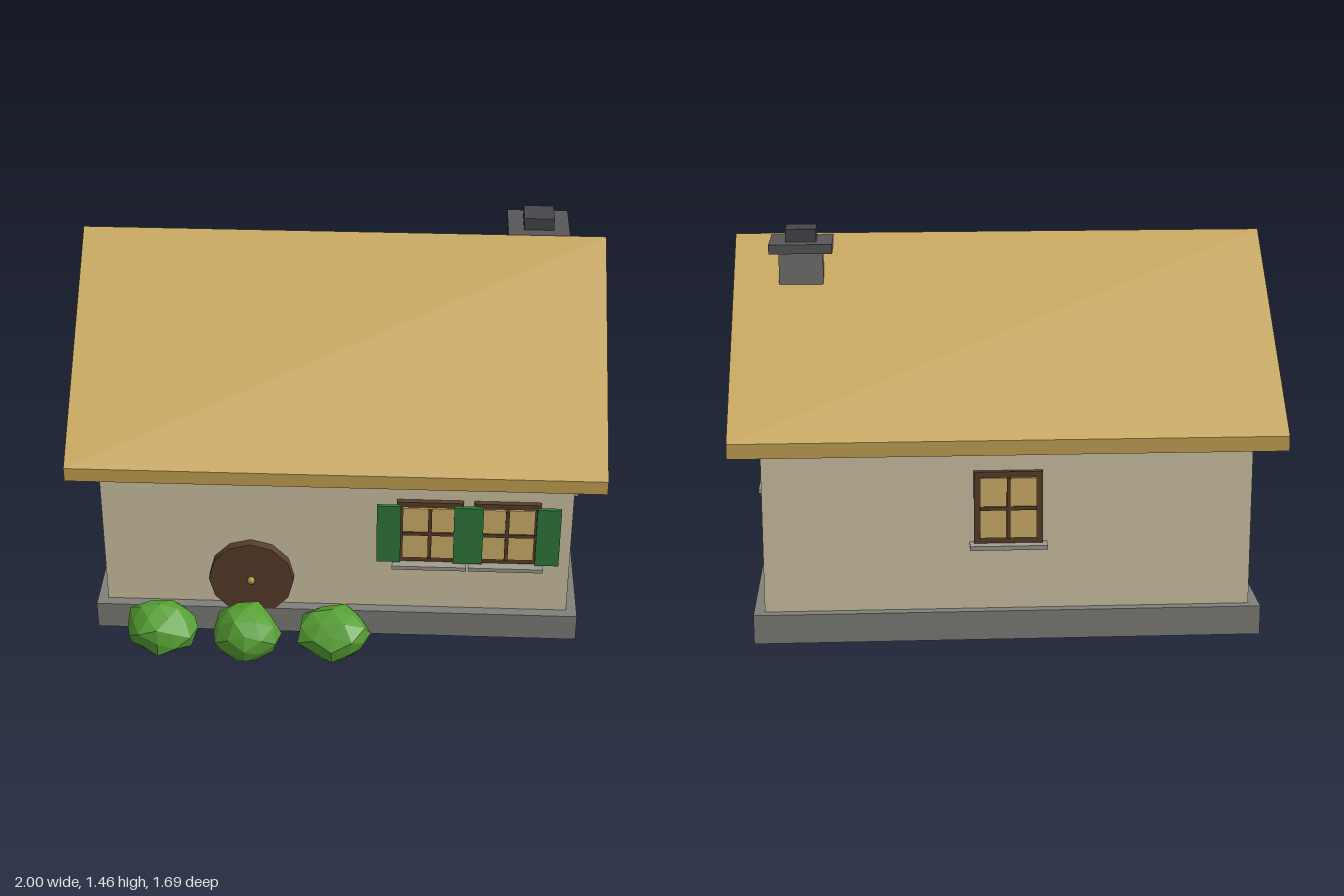
import * as THREE from 'three';

const mat = (color, flat = false) => new THREE.MeshStandardMaterial({ color, flatShading: flat });
const M = {
  wall: mat(0xd4c8a8), roof: mat(0xc8a655), stone: mat(0x80807a), chimney: mat(0x757572),
  cap: mat(0x58585a), pot: mat(0x48484c), wood: mat(0x5a3f2b), pane: mat(0xd6b66e),
  sill: mat(0xa09c90), shutter: mat(0x2f7d3c), knob: mat(0xb08a30), bush: mat(0x57a034, true),
};
const RIDGE_Z = -0.1;

function add(parent, name, geometry, material, x = 0, y = 0, z = 0) {
  const mesh = new THREE.Mesh(geometry, material);
  mesh.name = name;
  mesh.position.set(x, y, z);
  parent.add(mesh);
  return mesh;
}

// Box given by its lower and upper limits on each axis
function box(parent, name, material, [x0, x1], [y0, y1], [z0, z1]) {
  return add(parent, name, new THREE.BoxGeometry(x1 - x0, y1 - y0, z1 - z0), material,
    (x0 + x1) / 2, (y0 + y1) / 2, (z0 + z1) / 2);
}

// Extrudes a (z, y) outline along the whole x length, centred on x = 0
function prism(parent, name, material, outline, length) {
  const shape = new THREE.Shape(outline.map(([z, y]) => new THREE.Vector2(-z, y)));
  const geo = new THREE.ExtrudeGeometry(shape, { depth: length, bevelEnabled: false });
  geo.translate(0, 0, -length / 2).rotateY(Math.PI / 2);
  return add(parent, name, geo, material, 0, 0, RIDGE_Z);
}

// Window facing +z with its back on z = 0, centred on the origin
function makeWindow(name, w, h, shutters = false) {
  const g = new THREE.Group();
  g.name = name;
  const pw = w / 2 - 0.022, ph = h / 2 - 0.022;
  box(g, 'windowFrame', M.wood, [-w / 2, w / 2], [-h / 2, h / 2], [-0.01, 0.02]);
  box(g, 'windowPane', M.pane, [-pw, pw], [-ph, ph], [0.01, 0.028]);
  box(g, 'verticalBar', M.wood, [-0.007, 0.007], [-ph, ph], [0.01, 0.034]);
  box(g, 'horizontalBar', M.wood, [-pw, pw], [-0.007, 0.007], [0.01, 0.033]);
  box(g, 'windowSill', M.sill, [-w / 2 - 0.016, w / 2 + 0.016], [-h / 2 - 0.016, -h / 2], [-0.01, 0.056]);
  if (shutters) for (const s of [-1, 1]) {
    const x = s * 0.155;
    box(g, 'shutter', M.shutter, [x - 0.045, x + 0.045], [-0.13, 0.125], [0.022, 0.036 + s * 0.0005]);
  }
  return g;
}

// Faceted bush: an icosphere with every corner pushed in or out by a seeded amount
function bush(parent, seed, [x, y, z], [rx, ry, rz]) {
  const geo = new THREE.IcosahedronGeometry(1, 1);
  const p = geo.attributes.position, v = new THREE.Vector3();
  for (let i = 0; i < p.count; i++) {
    v.fromBufferAttribute(p, i);
    const key = Math.round(v.x * 50) * 12.9898 + Math.round(v.y * 50) * 78.233 + Math.round(v.z * 50) * 37.719;
    const n = Math.sin(key + seed * 17.3) * 43758.5453;
    v.multiplyScalar(0.86 + 0.2 * (n - Math.floor(n)));
    p.setXYZ(i, v.x * rx, v.y * ry, v.z * rz);
  }
  geo.computeVertexNormals();
  add(parent, 'bush', geo, M.bush, x, y, z);
}

export function createModel() {
  const house = new THREE.Group();
  house.name = 'cottage';

  // Foundation, walls and gable
  box(house, 'foundation', M.stone, [-0.93, 0.93], [0.03, 0.14], [-0.775, 0.585]);
  box(house, 'walls', M.wall, [-0.89, 0.89], [0.14, 0.835], [-0.74, 0.545]);
  prism(house, 'gable', M.wall, [[0.643, 0.835], [-0.643, 0.835], [0, 1.367]], 1.78);

  // Pitched roof with vertical eaves
  prism(house, 'roof', M.roof, [
    [0.75, 0.755], [0.75, 0.81], [0, 1.43], [-0.75, 0.81], [-0.75, 0.755], [0, 1.373],
  ], 2);

  // Chimney
  box(house, 'chimneyStack', M.chimney, [0.665, 0.83], [1.1, 1.39], [-0.295, -0.13]);
  box(house, 'chimneyCap', M.cap, [0.63, 0.865], [1.39, 1.425], [-0.33, -0.097]);
  box(house, 'chimneyPot', M.pot, [0.69, 0.805], [1.425, 1.473], [-0.27, -0.155]);

  // Round door with a central knob
  const door = add(house, 'roundDoor', new THREE.CylinderGeometry(0.163, 0.163, 0.05, 12), M.wood, -0.325, 0.273, 0.556);
  door.rotation.x = Math.PI / 2;
  add(house, 'doorKnob', new THREE.SphereGeometry(0.016, 8, 6), M.knob, -0.325, 0.273, 0.588);

  // Windows: two shuttered at the front, one at the back, one on the left wall
  for (const x of [0.355, 0.645]) {
    const win = makeWindow('frontWindow', 0.25, 0.27, true);
    win.position.set(x, 0.505, 0.545);
    house.add(win);
  }
  const back = makeWindow('backWindow', 0.25, 0.27);
  back.position.set(0, 0.532, -0.74);
  back.rotation.y = Math.PI;
  const side = makeWindow('sideWindow', 0.215, 0.242);
  side.position.set(0.89, 0.533, 0.017);
  side.rotation.y = Math.PI / 2;
  house.add(back, side);

  // Bushes along the front
  bush(house, 1, [-0.665, 0.135, 0.71], [0.14, 0.11, 0.122]);
  bush(house, 2, [-0.333, 0.122, 0.715], [0.13, 0.12, 0.128]);
  bush(house, 3, [-0.005, 0.13, 0.71], [0.147, 0.108, 0.128]);
  return house;
}
